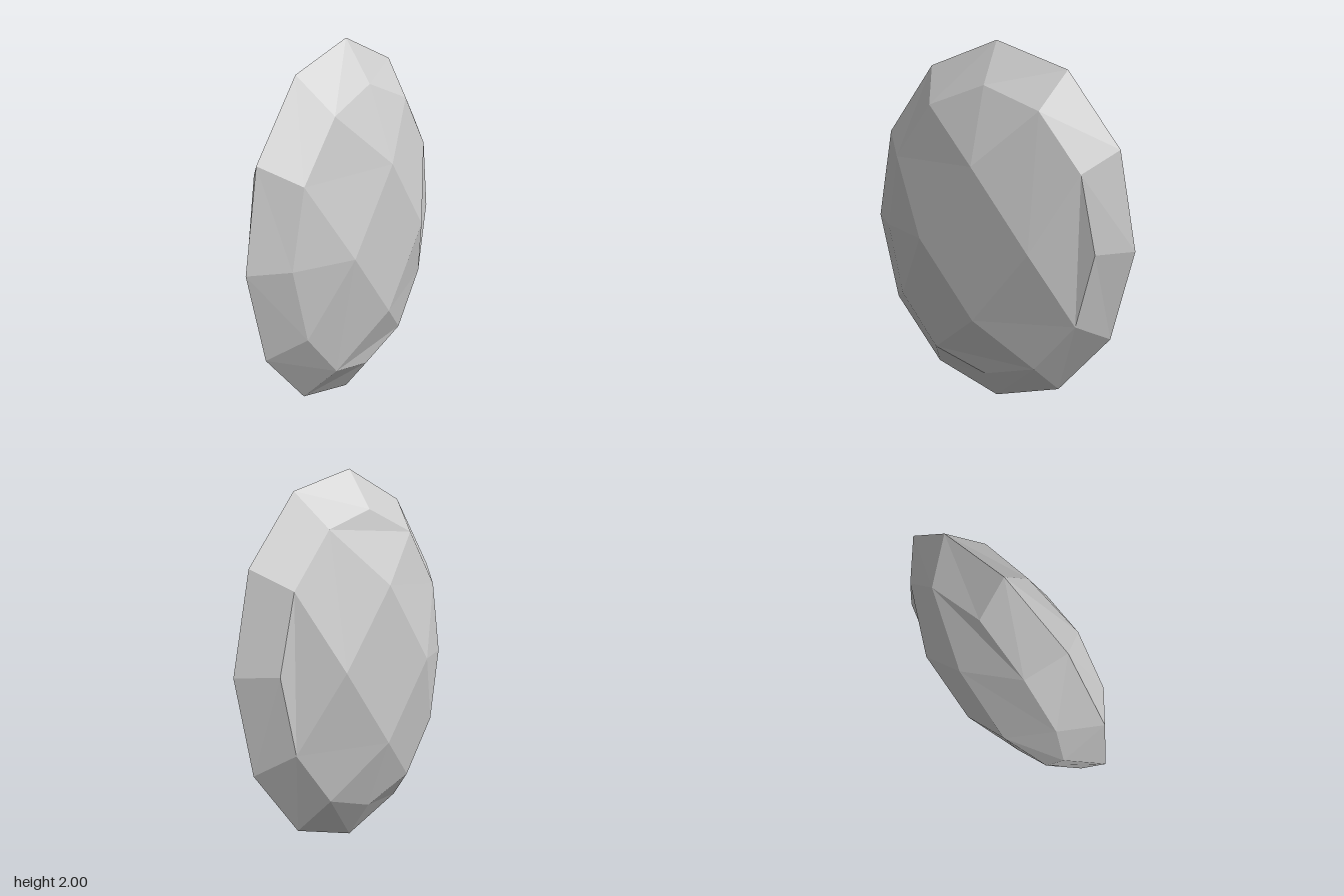
import * as THREE from 'three';

// One quadrant of the middle facet ring: x, y from centre, z
const quadrant = [[0.605, 0, 0.145], [0.522, 0.395, 0.157], [0.303, 0.682, 0.165], [0, 0.79, 0.145]];

// Point k (of 12, counter-clockwise from +x) on the middle ring, mirrored from the quadrant
function ringPoint(k) {
  k = (k + 12) % 12;
  const half = k <= 6 ? k : 12 - k;
  const [x, y, z] = quadrant[half <= 3 ? half : 6 - half];
  return [half <= 3 ? x : -x, k <= 6 ? y : -y, z];
}

// Point k on the girdle, the sharp outer edge
function girdlePoint(k) {
  const a = (k * Math.PI) / 6;
  return [0.765 * Math.cos(a), Math.sin(a), 0];
}

// Corner j (of 4) of the flat diamond-shaped table
function tablePoint(j) {
  const a = (j * Math.PI) / 2;
  return [0.31 * Math.cos(a), 0.41 * Math.sin(a), 0.29];
}

// Half of the gem; 'folded' lists the table corners whose facet dips towards the ring
function halfGem(side, folded) {
  const positions = [];
  const tri = (a, b, c) => {
    for (const p of side > 0 ? [a, b, c] : [a, c, b]) positions.push(p[0], p[1] + 1, p[2] * side);
  };
  const quad = (a, b, c, d) => { tri(a, b, c); tri(a, c, d); };

  // Table
  quad(tablePoint(0), tablePoint(1), tablePoint(2), tablePoint(3));
  // Crown facets
  for (let j = 0; j < 4; j++) {
    const k = 3 * j, t = tablePoint(j);
    const before = ringPoint(k - 1), mid = ringPoint(k), after = ringPoint(k + 1);
    if (folded.includes(j)) {
      tri(t, before, after);
      tri(before, mid, after);
    } else quad(t, before, mid, after);
    quad(t, after, ringPoint(k + 2), tablePoint(j + 1));
  }
  // Outer bevel facets
  for (let k = 0; k < 12; k++) quad(girdlePoint(k), girdlePoint(k + 1), ringPoint(k + 1), ringPoint(k));

  const geometry = new THREE.BufferGeometry();
  geometry.setAttribute('position', new THREE.Float32BufferAttribute(positions, 3));
  geometry.computeVertexNormals();
  return geometry;
}

export function createModel() {
  const group = new THREE.Group();
  group.name = 'ovalGem';
  const material = new THREE.MeshStandardMaterial({ color: 0xcccccc, flatShading: true });
  const front = new THREE.Mesh(halfGem(1, [0, 3]), material);
  front.name = 'frontFacets';
  const back = new THREE.Mesh(halfGem(-1, [0, 1]), material);
  back.name = 'backFacets';
  group.add(front, back);
  return group;
}
